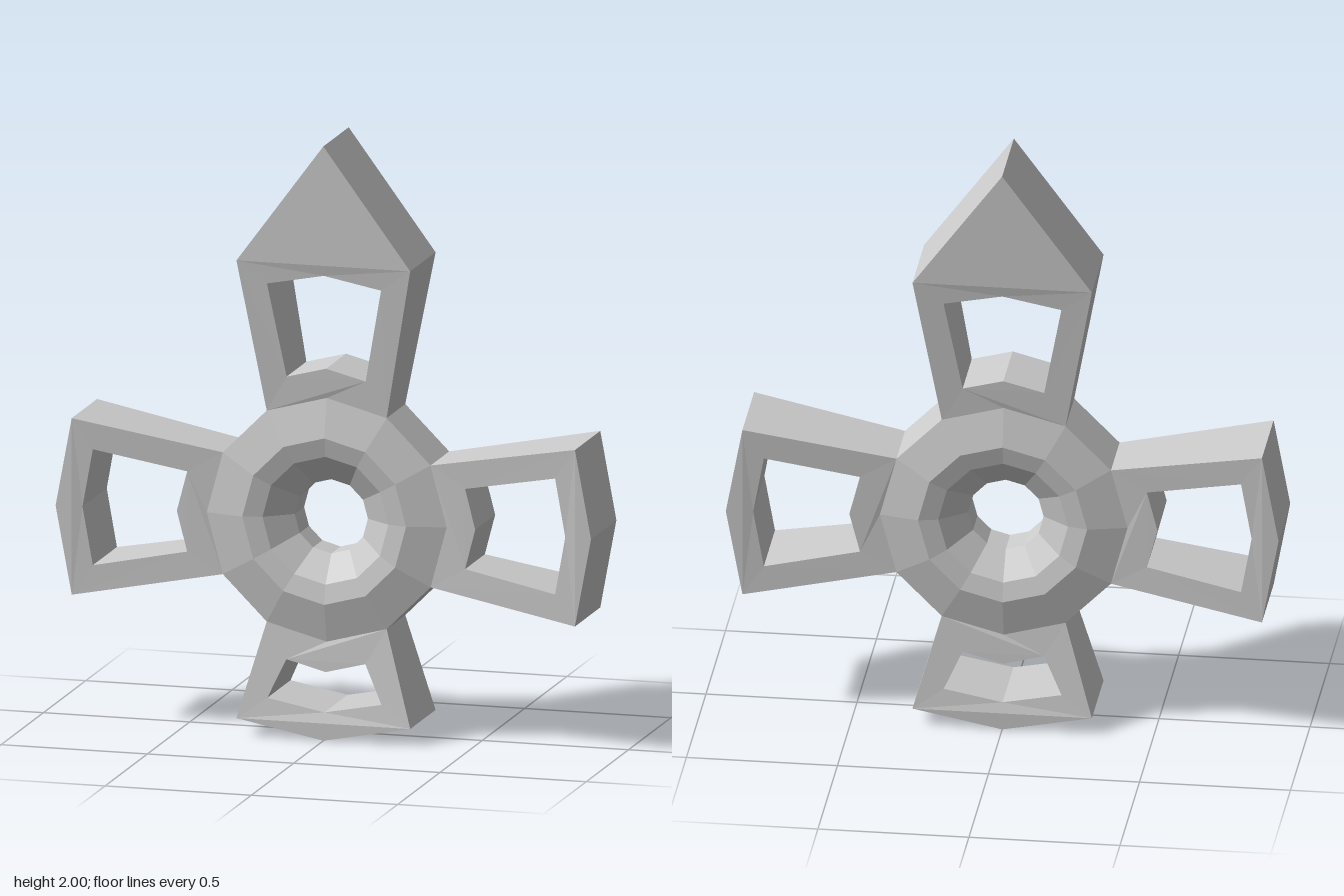
import * as THREE from 'three';

const material = new THREE.MeshStandardMaterial({ color: 0xcccccc, flatShading: true });
const HUB_Y = 0.735;
const HUB_R = 0.41;

// Closed outline, mirrored in x: side points on +x, with a point on the axis at each end
function ring(PathType, inner, corners, outer) {
  const pts = [[0, inner], ...corners, [0, outer], ...corners.map(([x, y]) => [-x, y]).reverse()];
  return new PathType(pts.map(([x, y]) => new THREE.Vector2(x, y)));
}

// Framed arm pointing along +y, thickening from the hub to its outer corners
function createArm(name, angle, shoulder, tip, holeShoulder, holeTip) {
  const shape = ring(THREE.Shape, HUB_R, [[0.205, 0.355], [0.297, shoulder]], tip);
  shape.holes.push(ring(THREE.Path, 0.51, [[0.135, 0.475], [0.195, holeShoulder]], holeTip));
  const geometry = new THREE.ExtrudeGeometry(shape, { depth: 1, bevelEnabled: false });

  const pos = geometry.attributes.position;
  const outerR = Math.hypot(0.297, shoulder);
  for (let i = 0; i < pos.count; i++) {
    const r = Math.hypot(pos.getX(i), pos.getY(i));
    const t = THREE.MathUtils.clamp((r - HUB_R) / (outerR - HUB_R), 0, 1);
    const half = 0.11 + 0.04 * t;
    pos.setZ(i, pos.getZ(i) > 0.5 ? half : -half);
  }
  geometry.computeVertexNormals();

  const arm = new THREE.Mesh(geometry, material);
  arm.name = name;
  arm.rotation.z = angle;
  arm.position.y = HUB_Y;
  return arm;
}

// Twelve-sided hub with a raised ring and a dished centre hole
function createHub() {
  const front = [[HUB_R, 0.11], [0.28, 0.14], [0.215, 0.125], [0.125, 0.055]];
  const back = front.map(([r, z]) => [r, -z]);
  const profile = [back[0], ...front, ...back.reverse()];
  const geometry = new THREE.LatheGeometry(profile.map(([r, z]) => new THREE.Vector2(r, z)), 12);
  geometry.rotateX(Math.PI / 2);
  const hub = new THREE.Mesh(geometry, material);
  hub.name = 'hub';
  hub.position.y = HUB_Y;
  return hub;
}

export function createModel() {
  const model = new THREE.Group();
  model.name = 'fourArmedCross';
  model.add(
    createHub(),
    createArm('pointedTopArm', 0, 0.863, 1.265, 0.79, 0.828),
    createArm('leftArm', -Math.PI / 2, 0.86, 0.915, 0.79, 0.825),
    createArm('rightArm', Math.PI / 2, 0.86, 0.915, 0.79, 0.825),
    createArm('shortBottomArm', Math.PI, 0.677, 0.735, 0.605, 0.642),
  );
  return model;
}
